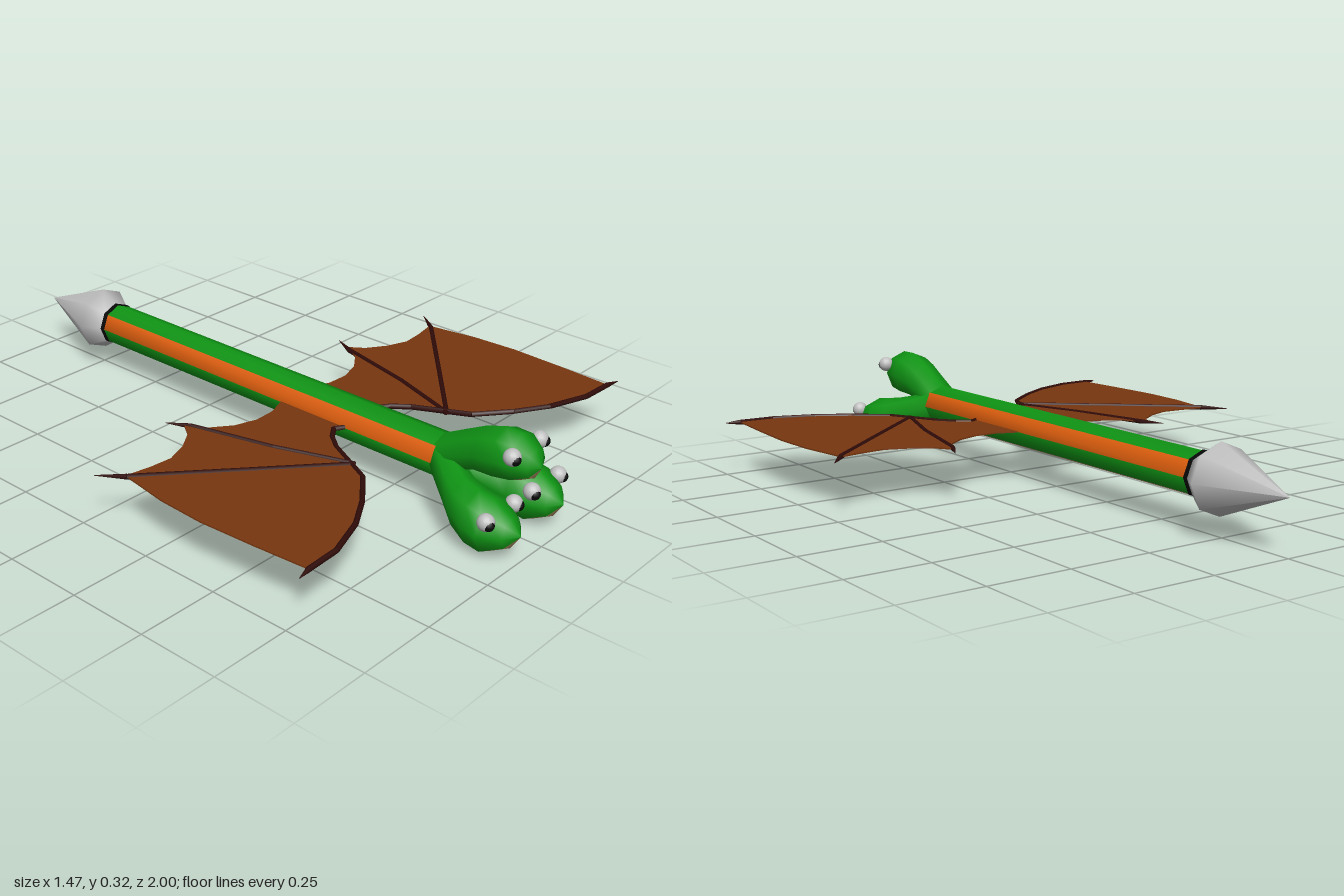
import * as THREE from 'three';

const mat = (name, color, side = THREE.FrontSide) => {
  const m = new THREE.MeshStandardMaterial({ color, side });
  m.name = name;
  return m;
};

// Eight-sided smooth loft through rings [x, y, z, radius] running towards +z.
// slots gives the material index of each of the eight lengthwise strips.
function loft(rings, slots) {
  const pos = [], index = [], geo = new THREE.BufferGeometry();
  for (const [x, y, z, r] of rings) {
    for (let j = 0; j < 8; j++) {
      const a = j * Math.PI / 4;
      pos.push(x + r * Math.cos(a), y + r * Math.sin(a), z);
    }
  }
  for (let j = 0; j < 8; j++) {
    const k = (j + 1) % 8;
    geo.addGroup(index.length, (rings.length - 1) * 6, slots[j]);
    for (let i = 0; i < rings.length - 1; i++) {
      const a = i * 8 + j, b = i * 8 + k;
      index.push(a, b, b + 8, a, b + 8, a + 8);
    }
  }
  geo.setAttribute('position', new THREE.Float32BufferAttribute(pos, 3));
  geo.setIndex(index);
  geo.computeVertexNormals();
  return geo;
}

export function createModel() {
  const green = mat('scale green', 0x0f9414);
  const orange = mat('stripe orange', 0xdf5f0e);
  const tan = mat('belly tan', 0xb09165);
  const grey = mat('pale grey', 0xc0c0c0);
  const black = mat('black', 0x080808);
  const brown = mat('wing brown', 0x78360f, THREE.DoubleSide);
  const dark = mat('bone dark brown', 0x300c09);
  const skin = [green, orange, tan];
  const Y = 0.165;

  const model = new THREE.Group();
  const add = (name, geo, material, parent = model) => {
    const m = new THREE.Mesh(geo, material);
    m.name = name;
    parent.add(m);
    return m;
  };

  // Straight body with orange flanks and a tan belly
  add('body', loft([[0, Y, -0.68, 0.066], [0, Y, 0.67, 0.066]], [1, 0, 0, 1, 0, 2, 2, 0]), skin);
  add('bodyFrontCap', new THREE.CircleGeometry(0.066, 8), green).position.set(0, Y, 0.67);

  // Pointed tail tip and its collar
  const collar = add('tailCollar', new THREE.CylinderGeometry(0.069, 0.069, 0.014, 8), black);
  collar.rotation.set(Math.PI / 2, Math.PI / 2, 0);
  collar.position.set(0, Y, -0.675);
  add('tailTip', loft([[0, Y, -1, 0], [0, Y, -0.74, 0.103], [0, Y, -0.68, 0.066], [0, Y, -0.679, 0]],
    Array(8).fill(0)), [grey]);

  // Three heads on short necks, each with two eyes
  function head(name, rings, eyes) {
    const g = new THREE.Group();
    g.name = name;
    add('neckAndSkull', loft(rings, [0, 0, 0, 0, 0, 2, 2, 0]), skin, g);
    for (const [x, y, z, px] of eyes) {
      add('eye', new THREE.SphereGeometry(0.025, 14, 10), grey, g).position.set(x, y, z);
      add('pupil', new THREE.SphereGeometry(0.017, 12, 8), black, g).position.set(x + px, y - 0.003, z + 0.011);
    }
    model.add(g);
  }
  head('topHead', [
    [0, 0.168, 0.66, 0.062], [0, 0.205, 0.73, 0.062], [0, 0.235, 0.80, 0.068], [0, 0.246, 0.86, 0.076],
    [0, 0.25, 0.915, 0.071], [0, 0.246, 0.96, 0.044], [0, 0.238, 0.98, 0],
  ], [[-0.062, 0.277, 0.925, -0.003], [0.067, 0.28, 0.925, 0.005]]);
  for (const s of [-1, 1]) {
    const e = s < 0 ? 0 : -0.007;
    head(s < 0 ? 'lowerRightHead' : 'lowerLeftHead', [
      [0, 0.164, 0.66, 0.062], [s * 0.05, 0.135, 0.73, 0.062], [s * 0.092, 0.108, 0.80, 0.072],
      [s * 0.109, 0.094, 0.86 + e, 0.08], [s * 0.11, 0.086, 0.91 + e, 0.08],
      [s * 0.109, 0.085, 0.97 + e, 0.046], [s * 0.108, 0.085, 1 + e, 0],
    ], [[s * 0.172, 0.13, 0.93, s * 0.004], [s * 0.043, 0.132, 0.93, -s * 0.004]]);
  }

  // Flat bat wings; outline points are [x, z] for the left side
  const trailing = [[0.05, 0.11], [0.13, 0.14], [0.2, 0.143], [0.27, 0.12], [0.33, 0.075], [0.365, 0.01],
    [0.4, 0.06], [0.46, 0.1], [0.53, 0.126], [0.6, 0.12], [0.68, 0.105],
    [0.706, 0.27], [0.713, 0.42], [0.703, 0.6], [0.69, 0.77]];
  const leading = [[0.58, 0.765], [0.45, 0.72], [0.35, 0.66], [0.25, 0.58], [0.205, 0.49],
    [0.17, 0.42], [0.13, 0.37], [0.09, 0.342], [0.05, 0.365]];
  const bones = [
    [[0.735, 0.78], [0.69, 0.77], ...leading],
    [[0.39, -0.04], [0.355, 0.03], [0.29, 0.29], [0.21, 0.52]],
    [[0.735, 0.04], [0.68, 0.11], [0.44, 0.32], [0.21, 0.52]],
  ];

  // Bone: chain of segments with a sharp first point
  function bone(points, s, parent) {
    const R = 0.008;
    for (let i = 0; i < points.length - 1; i++) {
      const a = new THREE.Vector3(s * points[i][0], Y, points[i][1]);
      const b = new THREE.Vector3(s * points[i + 1][0], Y, points[i + 1][1]);
      const d = b.clone().sub(a);
      const seg = add('wingBone', new THREE.CylinderGeometry(R, i ? R : 0.001, d.length(), 6), dark, parent);
      seg.position.copy(a).add(b).multiplyScalar(0.5);
      seg.quaternion.setFromUnitVectors(new THREE.Vector3(0, 1, 0), d.normalize());
    }
  }

  for (const s of [1, -1]) {
    const wing = new THREE.Group();
    wing.name = s > 0 ? 'leftWing' : 'rightWing';
    const shape = new THREE.Shape([...trailing, ...leading].map(([x, z]) => new THREE.Vector2(s * x, -z)));
    const geo = new THREE.ExtrudeGeometry(shape, { depth: 0.004, bevelEnabled: false });
    geo.rotateX(-Math.PI / 2);
    add('wingMembrane', geo, brown, wing).position.y = Y - 0.002;
    bones.forEach((b) => bone(b, s, wing));
    model.add(wing);
  }
  return model;
}
